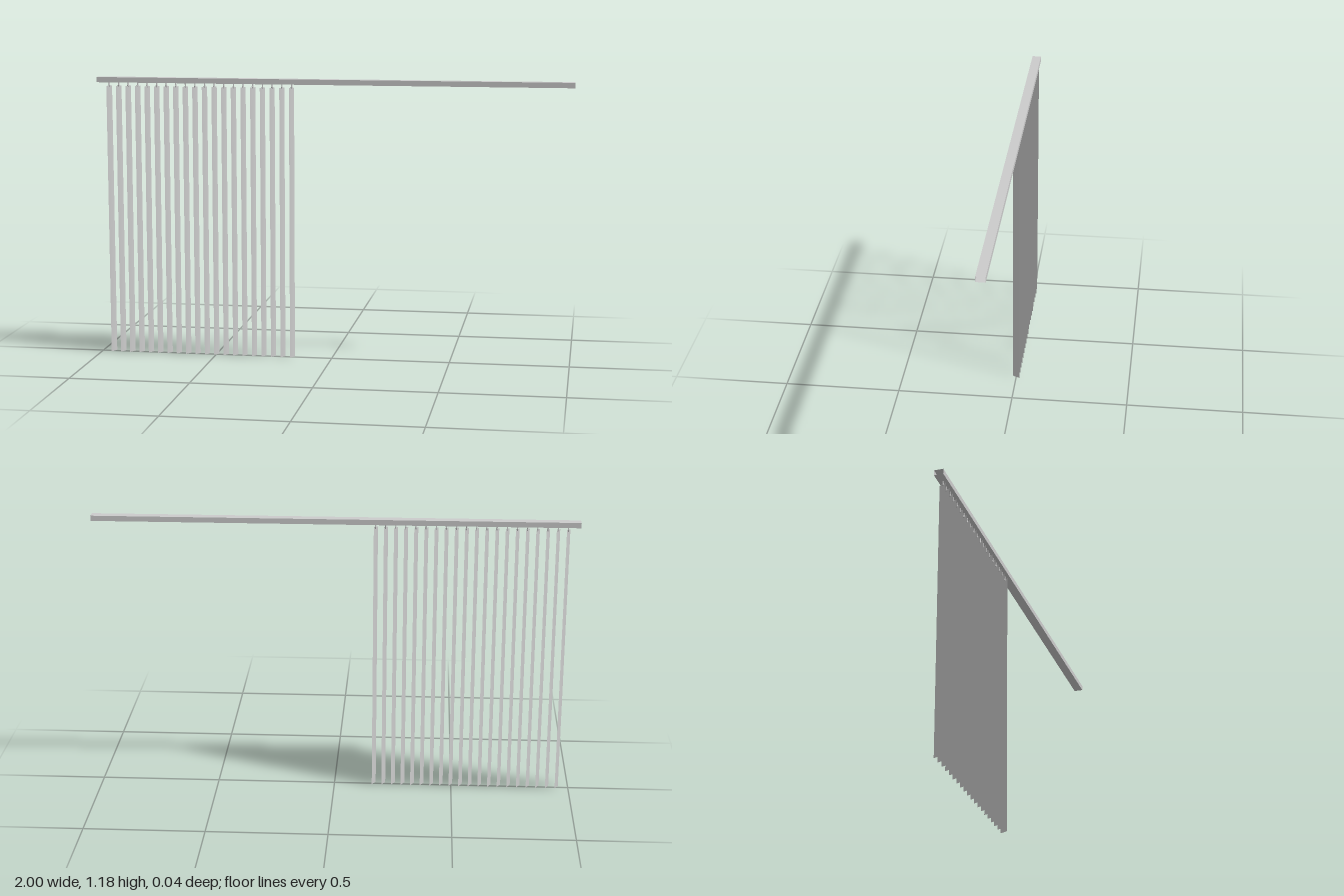
import * as THREE from 'three';

const RAIL = { length: 2, depth: 0.038, bottom: 1.162, top: 1.184 };
const SLATS = { count: 20, first: -0.95, last: -0.168, width: 0.035, height: 1.147, sag: 0.002, turn: -0.48 };

// Strip swept along one axis through a list of [u, v] section points
function sweep(points, closed, length) {
  const pos = [], index = [];
  const n = points.length - (closed ? 0 : 1);
  for (let i = 0; i < n; i++) {
    const a = points[i], b = points[(i + 1) % points.length], k = i * 4;
    pos.push(a[0], a[1], 0, b[0], b[1], 0, b[0], b[1], length, a[0], a[1], length);
    index.push(k, k + 1, k + 2, k, k + 2, k + 3);
  }
  const geometry = new THREE.BufferGeometry();
  geometry.setAttribute('position', new THREE.Float32BufferAttribute(pos, 3));
  geometry.setIndex(index);
  geometry.computeVertexNormals();
  return geometry;
}

export function createModel() {
  const model = new THREE.Group();
  model.name = 'verticalBlind';
  const grey = new THREE.MeshStandardMaterial({ color: 0xcccccc, side: THREE.DoubleSide });

  // Head rail: a thin box tube, open at both ends
  const d = RAIL.depth / 2;
  const railSection = [[-d, RAIL.bottom], [d, RAIL.bottom], [d, RAIL.top], [-d, RAIL.top]];
  const railGeometry = sweep(railSection, true, RAIL.length);
  railGeometry.translate(0, 0, -RAIL.length / 2).rotateY(Math.PI / 2);
  const rail = new THREE.Mesh(railGeometry, grey);
  rail.name = 'headRail';
  model.add(rail);

  // Slat: a shallow curved strip standing upright, its width along z
  const slatGeometry = new THREE.PlaneGeometry(SLATS.width, SLATS.height, 6, 1);
  const p = slatGeometry.attributes.position;
  for (let i = 0; i < p.count; i++) {
    const t = p.getX(i) / (SLATS.width / 2);
    p.setZ(i, SLATS.sag * (0.5 - t * t));
  }
  slatGeometry.rotateY(Math.PI / 2).translate(0, SLATS.height / 2, 0);
  slatGeometry.computeVertexNormals();

  // Hanger: narrow stem with a small clip gripping the slat
  const stemGeometry = new THREE.BoxGeometry(0.003, 0.024, 0.005).translate(0, 1.154, 0);
  const clipGeometry = new THREE.BoxGeometry(0.006, 0.008, 0.007).translate(0, 1.146, 0);

  for (let i = 0; i < SLATS.count; i++) {
    const unit = new THREE.Group();
    unit.name = `slatUnit${i + 1}`;
    const parts = { slat: slatGeometry, hangerStem: stemGeometry, hangerClip: clipGeometry };
    for (const [name, geometry] of Object.entries(parts)) {
      const mesh = new THREE.Mesh(geometry, grey);
      mesh.name = name;
      unit.add(mesh);
    }
    unit.position.x = THREE.MathUtils.lerp(SLATS.first, SLATS.last, i / (SLATS.count - 1));
    unit.rotation.y = SLATS.turn;
    model.add(unit);
  }
  return model;
}
